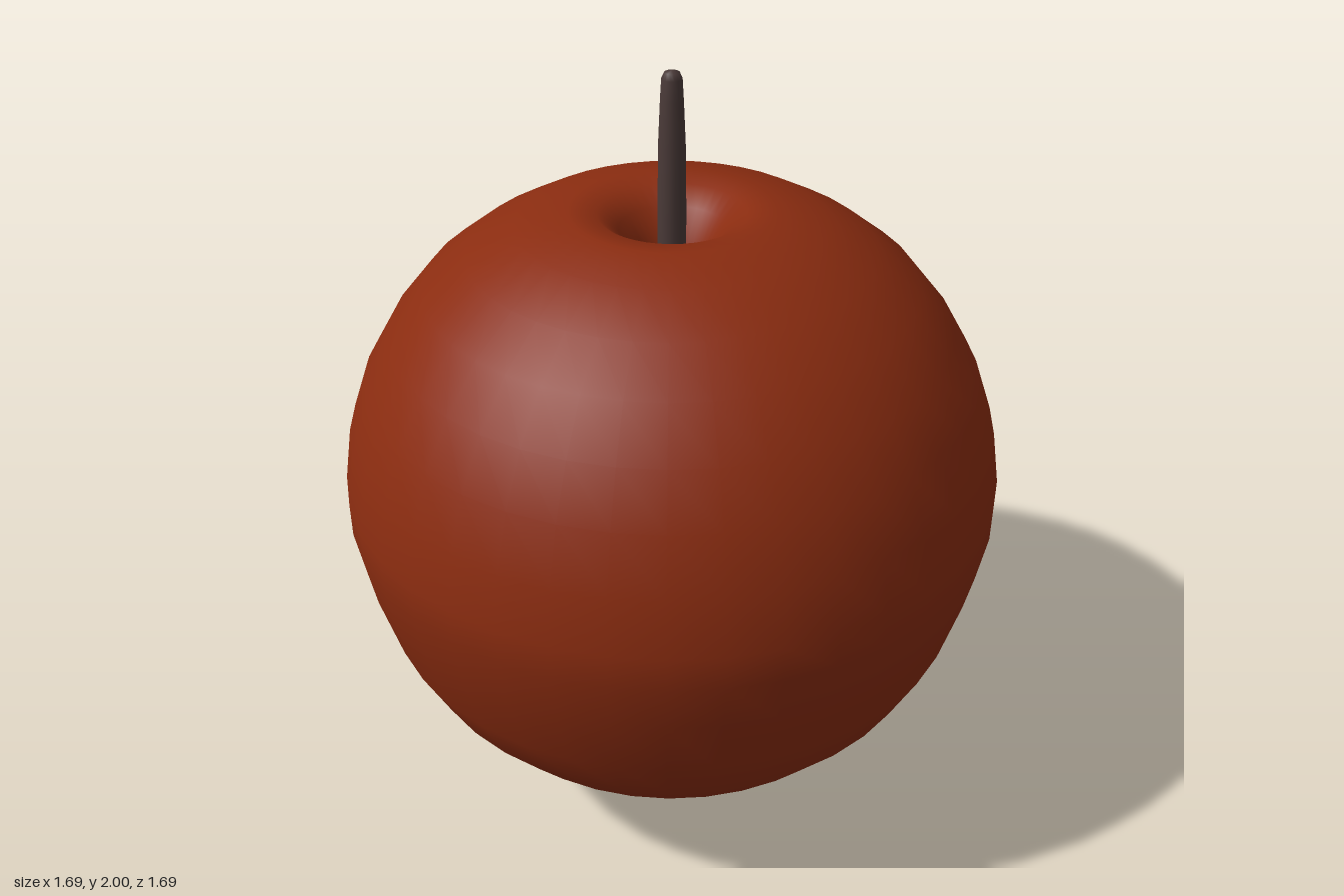
import * as THREE from 'three';
import { mergeVertices } from 'three/addons/utils/BufferGeometryUtils.js';

const v2 = ([x, y]) => new THREE.Vector2(x, y);

// Revolves a profile and welds the seam so the shading stays smooth
function lathe(points, segments, deform) {
  const geo = new THREE.LatheGeometry(points, segments);
  geo.deleteAttribute('uv');
  geo.deleteAttribute('normal');
  if (deform) deform(geo.attributes.position);
  const welded = mergeVertices(geo, 1e-4);
  welded.computeVertexNormals();
  return welded;
}

// Five rounded lobes around the underside, fading with distance from their ring
function addLobes(pos) {
  for (let i = 0; i < pos.count; i++) {
    const x = pos.getX(i), y = pos.getY(i), z = pos.getZ(i);
    if (y > 0.6) continue;
    const r = Math.hypot(x, z);
    const fade = Math.exp(-0.5 * ((r - 0.17) / 0.1) ** 2) * Math.min(1, r / 0.08);
    const wave = Math.abs(Math.cos(2.5 * (Math.atan2(z, x) - Math.PI)));
    pos.setY(i, Math.max(0, y - 0.11 * fade * wave));
  }
}

export function createModel() {
  const group = new THREE.Group();

  // Fruit: hollow underside, round belly, funnel-shaped dimple on top
  const profile = [
    [0, 0.2], [0.04, 0.185], [0.08, 0.16], [0.12, 0.13], [0.17, 0.11], [0.22, 0.108],
    [0.28, 0.12], [0.38, 0.155], [0.5, 0.225], [0.6, 0.31], [0.7, 0.43], [0.77, 0.57],
    [0.82, 0.75], [0.843, 0.88], [0.843, 0.97], [0.82, 1.11], [0.77, 1.25], [0.7, 1.37],
    [0.61, 1.48], [0.5, 1.565], [0.38, 1.63], [0.25, 1.66], [0.18, 1.65], [0.13, 1.61],
    [0.09, 1.54], [0.065, 1.46], [0.05, 1.38], [0, 1.36],
  ].map(v2);
  const flesh = new THREE.Mesh(
    lathe(profile, 40, addLobes),
    new THREE.MeshStandardMaterial({ color: 0x8a2c10 }),
  );
  flesh.name = 'fruit';

  // Stem: slightly tapered with a rounded tip
  const stemProfile = [
    [0, 1.36], [0.035, 1.36], [0.035, 1.66], [0.033, 1.82], [0.028, 1.93],
    [0.025, 1.98], [0.018, 1.995], [0, 2],
  ].map(v2);
  const stem = new THREE.Mesh(
    lathe(stemProfile, 16),
    new THREE.MeshStandardMaterial({ color: 0x4a3a38 }),
  );
  stem.name = 'stem';

  group.add(flesh, stem);
  return group;
}
